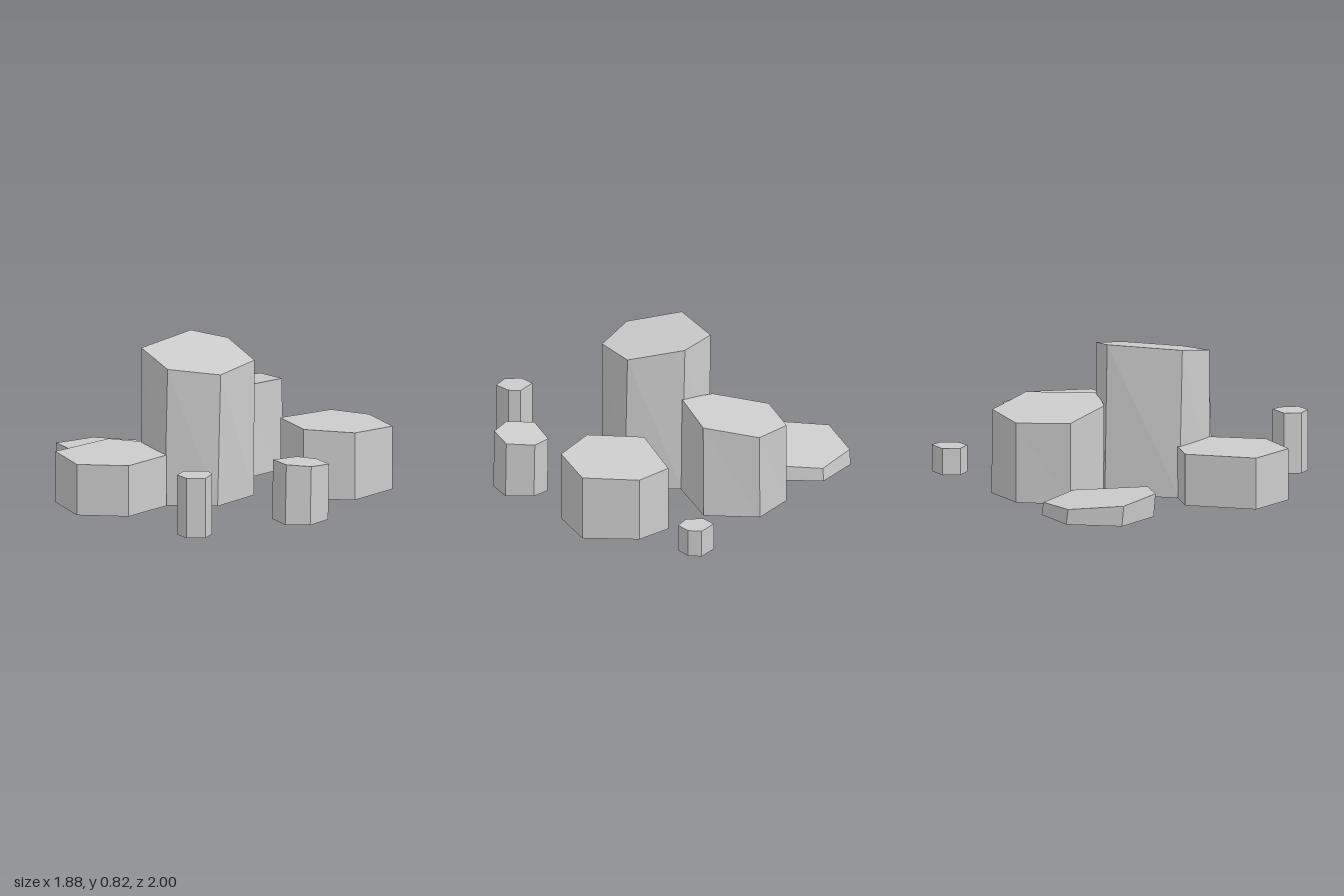
import * as THREE from 'three';

// Each column: six top corners [x, z], top plane y = h + gx*x + gz*z,
// twist of the foot (radians) and its small offset [dx, dz]
const COLUMNS = [
  { name: 'tallColumn', top: [0.794, -0.17, -0.057], twist: 0.06,
    corners: [[0.03, -0.095], [0.305, 0.04], [0.305, 0.345], [0.075, 0.51], [-0.19, 0.385], [-0.16, -0.02]] },
  { name: 'backColumn', top: [0.514, 0.136, 0.06], twist: -0.02, foot: [0.005, -0.005],
    corners: [[-0.145, -0.635], [0.11, -0.475], [0.045, -0.09], [-0.165, -0.035], [-0.42, -0.195], [-0.38, -0.49]] },
  { name: 'rightColumn', top: [0.397, -0.017, 0.074],
    corners: [[0.57, -0.635], [0.835, -0.485], [0.81, -0.18], [0.58, -0.03], [0.315, -0.18], [0.365, -0.57]] },
  { name: 'lowSlab', top: [0.101, 0.003, 0.094], foot: [0, -0.01],
    corners: [[-0.68, -0.32], [-0.42, -0.18], [-0.475, 0.22], [-0.68, 0.28], [-0.94, 0.13], [-0.915, -0.17]] },
  { name: 'frontColumn', top: [0.28, 0, 0],
    corners: [[-0.385, 0.415], [-0.195, 0.36], [0.07, 0.515], [0.04, 0.815], [-0.2, 0.955], [-0.455, 0.8]] },
  { name: 'smallSideColumn', top: [0.288, -0.01, 0.11], foot: [0, 0.01],
    corners: [[0.8, 0.155], [0.935, 0.225], [0.93, 0.38], [0.82, 0.455], [0.685, 0.39], [0.7, 0.195]] },
  { name: 'smallFrontColumn', top: [0.33, 0, 0],
    corners: [[0.56, 0.81], [0.615, 0.845], [0.64, 0.94], [0.56, 1], [0.475, 0.97], [0.455, 0.88]] },
  { name: 'smallBackColumn', top: [0.145, 0, 0],
    corners: [[0.38, -1], [0.44, -0.96], [0.455, -0.87], [0.38, -0.81], [0.29, -0.84], [0.275, -0.935]] },
];

const material = new THREE.MeshStandardMaterial({ color: 0xcccccc, flatShading: true });

function makeColumn({ name, corners, top: [h, gx, gz], twist = 0, foot = [0, 0] }) {
  const shape = new THREE.Shape(corners.map(([x, z]) => new THREE.Vector2(x, -z)));
  const geometry = new THREE.ExtrudeGeometry(shape, { depth: 1, bevelEnabled: false });
  geometry.rotateX(-Math.PI / 2);
  const cx = corners.reduce((s, c) => s + c[0], 0) / corners.length;
  const cz = corners.reduce((s, c) => s + c[1], 0) / corners.length;
  const cos = Math.cos(twist), sin = Math.sin(twist);
  const pos = geometry.attributes.position;
  for (let i = 0; i < pos.count; i++) {
    const x = pos.getX(i), z = pos.getZ(i);
    if (pos.getY(i) > 0.5) {
      pos.setY(i, h + gx * x + gz * z); // slanted top
    } else {
      const dx = x - cx, dz = z - cz; // twisted foot
      pos.setXYZ(i, cx + dx * cos - dz * sin + foot[0], 0, cz + dx * sin + dz * cos + foot[1]);
    }
  }
  geometry.computeVertexNormals();
  const mesh = new THREE.Mesh(geometry, material);
  mesh.name = name;
  return mesh;
}

export function createModel() {
  const group = new THREE.Group();
  group.name = 'rockColumns';
  for (const column of COLUMNS) group.add(makeColumn(column));
  return group;
}
